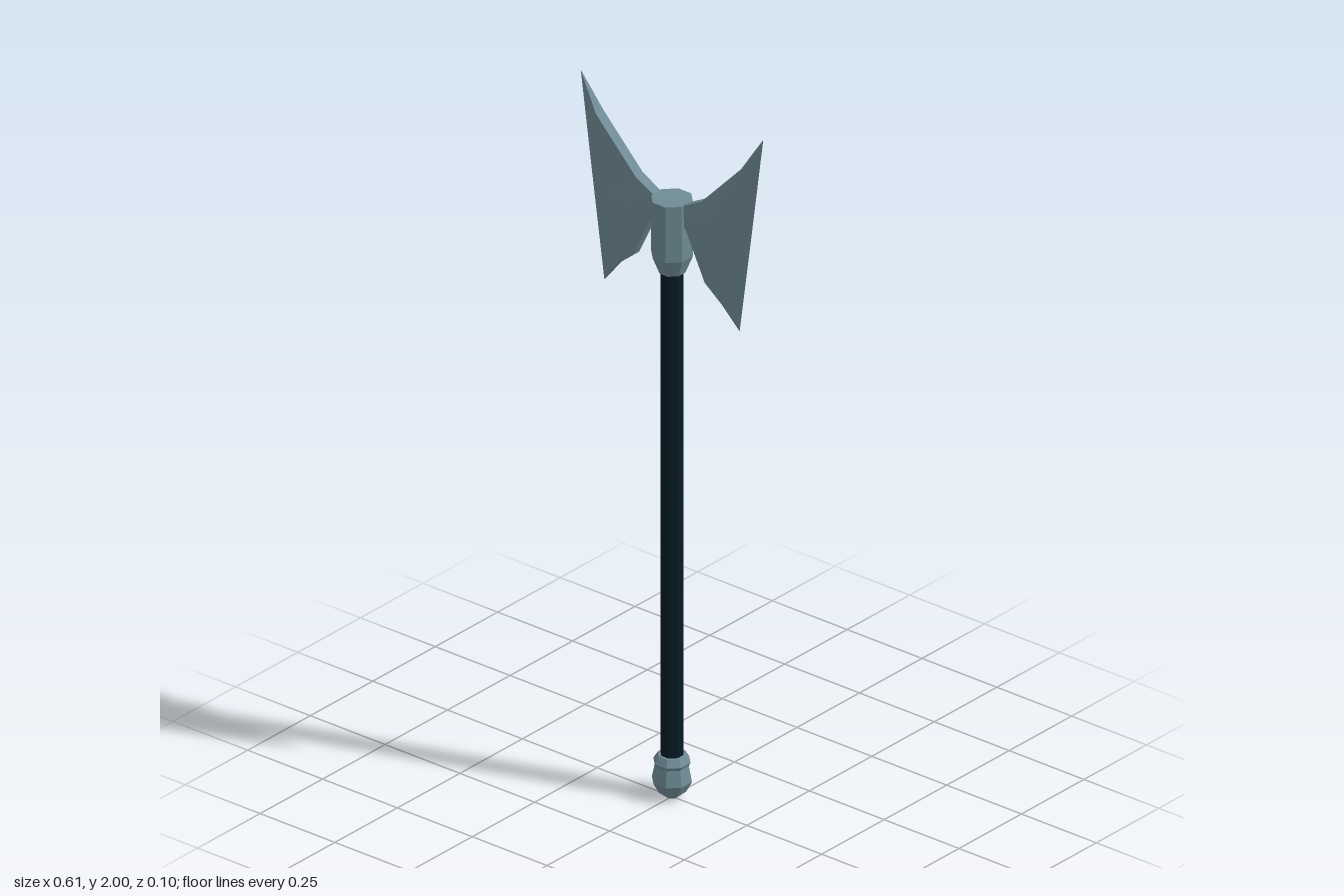
import * as THREE from 'three';

const steel = new THREE.MeshStandardMaterial({ color: 0x6f8b95, flatShading: true });
steel.name = 'blue grey steel';
const grip = new THREE.MeshStandardMaterial({ color: 0x061a24, flatShading: true });
grip.name = 'dark grip';

function addMesh(parent, name, geometry, material) {
  const mesh = new THREE.Mesh(geometry, material);
  mesh.name = name;
  parent.add(mesh);
  return mesh;
}

// Eight-sided turned part from [radius, height] pairs, with flats facing the axes
function turned(profile) {
  const g = new THREE.LatheGeometry(profile.map(([r, y]) => new THREE.Vector2(r, y)), 8);
  return g.rotateY(Math.PI / 8);
}

// Joins equal closed rings of [x, y, z] points into a skin
function loft(rings) {
  const n = rings[0].length;
  const index = [];
  for (let i = 0; i < rings.length - 1; i++) {
    for (let j = 0; j < n; j++) {
      const k = (j + 1) % n;
      const a = i * n + j, b = i * n + k, c = a + n, d = b + n;
      index.push(a, b, c, b, d, c);
    }
  }
  const g = new THREE.BufferGeometry();
  g.setAttribute('position', new THREE.Float32BufferAttribute(rings.flat(2), 3));
  g.setIndex(index);
  g.computeVertexNormals();
  return g;
}

// Each station, from root to cutting edge: top, middle and bottom as [x, y, half thickness]
function bladeGeometry() {
  const stations = [
    [[0.03, 1.725, 0.014], [0.03, 1.70, 0.015], [0.03, 1.67, 0.013]],
    [[0.055, 1.732, 0.015], [0.055, 1.70, 0.016], [0.055, 1.665, 0.013]],
    [[0.11, 1.762, 0.015], [0.11, 1.69, 0.022], [0.12, 1.53, 0.013]],
    [[0.243, 1.90, 0.015], [0.21, 1.67, 0.017], [0.175, 1.485, 0.011]],
    [[0.305, 2.0, 0], [0.268, 1.725, 0], [0.226, 1.42, 0]],
  ];
  return loft(stations.map((s) => [
    ...s.map(([x, y, t]) => [x, y, t]),
    ...s.slice().reverse().map(([x, y, t]) => [x, y, -t]),
  ]));
}

export function createModel() {
  const axe = new THREE.Group();
  axe.name = 'doubleAxe';

  // Shaft
  const shaft = new THREE.CylinderGeometry(0.031, 0.031, 1.43, 8);
  shaft.rotateY(Math.PI / 8).translate(0, 0.815, 0);
  addMesh(axe, 'shaft', shaft, grip);

  // Pommel with a raised ring at its neck
  addMesh(axe, 'pommel', turned([
    [0, 0], [0.016, 0.002], [0.038, 0.02], [0.054, 0.05], [0.045, 0.095],
    [0.05, 0.105], [0.038, 0.125], [0, 0.125],
  ]), steel);

  // Socket that holds the blades, tapering down onto the shaft
  addMesh(axe, 'socket', turned([
    [0, 1.52], [0.036, 1.52], [0.056, 1.57], [0.056, 1.73], [0, 1.73],
  ]), steel);

  // Two matching blades
  const blade = bladeGeometry();
  addMesh(axe, 'leftBlade', blade, steel);
  addMesh(axe, 'rightBlade', blade, steel).rotation.y = Math.PI;

  return axe;
}
